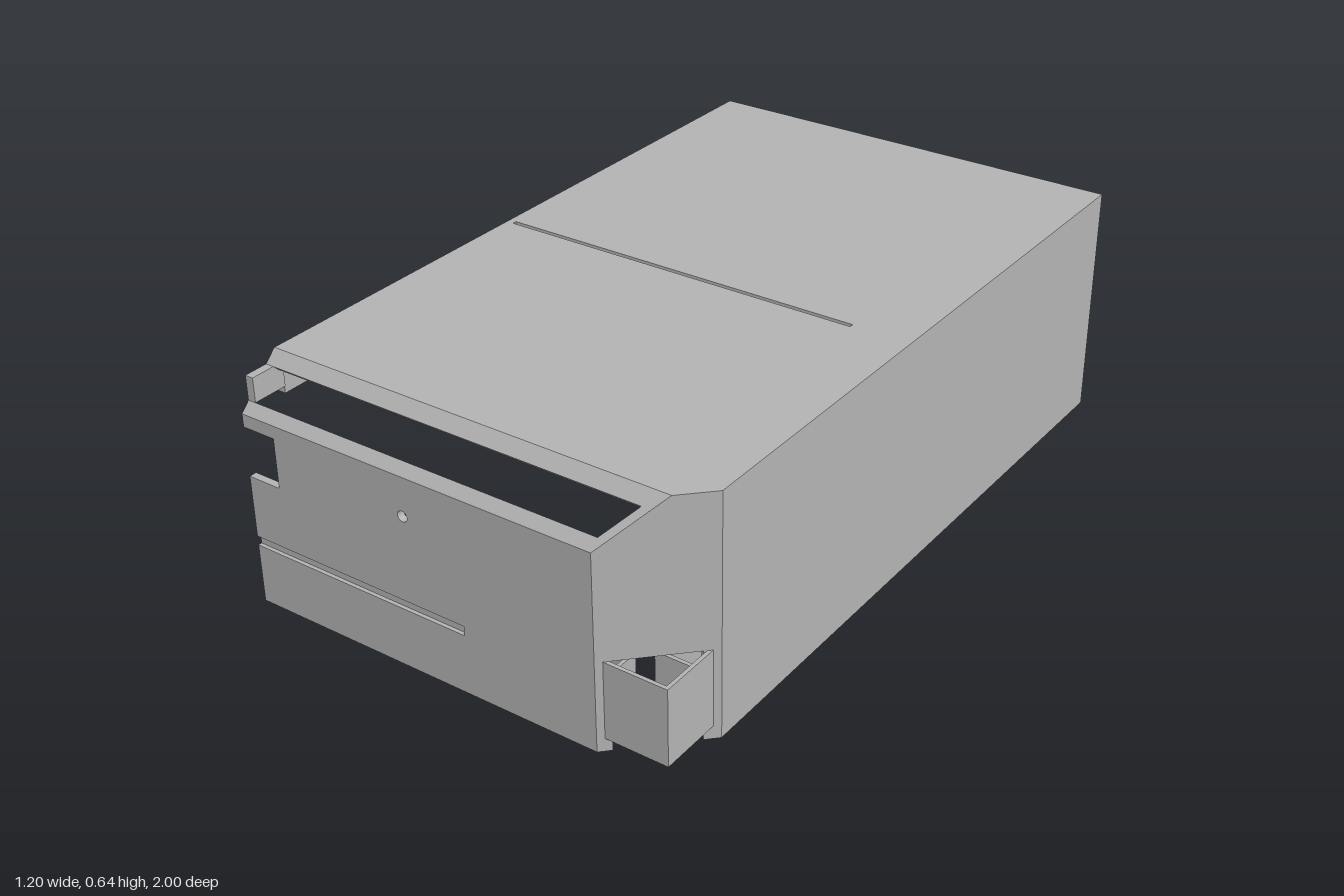
import * as THREE from 'three';

const T = 0.02; // sheet thickness

export function createModel() {
  const group = new THREE.Group();
  const grey = new THREE.MeshStandardMaterial({ color: 0xb2b2b2 });
  grey.name = 'sheetGrey';

  const add = (name, geo) => {
    const m = new THREE.Mesh(geo, grey);
    m.name = name;
    group.add(m);
    return m;
  };

  // Box given by its limits on each axis
  const box = (name, x0, x1, y0, y1, z0, z1) => add(name,
    new THREE.BoxGeometry(x1 - x0, y1 - y0, z1 - z0)
      .translate((x0 + x1) / 2, (y0 + y1) / 2, (z0 + z1) / 2));

  // Flat plate: outline in u,v; outer face lies on the plane through origin
  const plate = (name, outline, origin, u, v, depth = T, inset = 0, holes = []) => {
    const shape = new THREE.Shape(outline.map(p => new THREE.Vector2(...p)));
    shape.holes.push(...holes);
    const geo = new THREE.ExtrudeGeometry(shape, { depth, bevelEnabled: false, curveSegments: 12 });
    geo.translate(0, 0, -depth - inset);
    const U = new THREE.Vector3(...u).normalize();
    const V = new THREE.Vector3(...v).normalize();
    const M = new THREE.Matrix4().makeBasis(U, V, U.clone().cross(V));
    M.setPosition(...origin);
    return add(name, geo.applyMatrix4(M));
  };

  // Top panel in two layers, the upper one split by a shallow groove
  const topEdge = [[-0.6, -0.88], [0.525, -0.88], [0.6, -0.805], [0.6, 1], [-0.6, 1]];
  const topGroove = [[-0.6, -0.025], [0.44, -0.025], [0.44, -0.037], [-0.6, -0.037]];
  const topAt = [[0, 0.64, 0], [1, 0, 0], [0, 0, -1]];
  plate('topPanelOuter', [...topEdge, ...topGroove], ...topAt, T / 2);
  plate('topPanelInner', topEdge, ...topAt, T / 2, T / 2);

  // Front panel with side notch, groove and round hole
  const roundHole = () => new THREE.Path().absarc(-0.12, 0.416, 0.014, 0, Math.PI * 2, true);
  const frontEdge = [[-0.6, 0], [0.405, 0], [0.405, 0.52], [-0.6, 0.52],
    [-0.6, 0.485], [-0.505, 0.485], [-0.505, 0.352], [-0.6, 0.352]];
  const frontGroove = [[-0.6, 0.185], [0.04, 0.185], [0.04, 0.16], [-0.6, 0.16]];
  const frontAt = [[0, 0, 1], [1, 0, 0], [0, 1, 0]];
  plate('frontPanelOuter', [...frontEdge, ...frontGroove], ...frontAt, T / 2, 0, [roundHole()]);
  plate('frontPanelInner', frontEdge, ...frontAt, T / 2, T / 2, [roundHole()]);

  // Sloped upper edge with a long window open at its outer end
  plate('slopedPanel', [[-0.6, 0], [0.405, 0], [0.525, 0.17], [-0.6, 0.17],
    [-0.6, 0.127], [0.47, 0.127], [0.405, 0.035], [-0.6, 0.035]],
    [0, 0.52, 1], [1, 0, 0], [0, 1, -1]);

  // Angled corner wall with a low opening
  plate('cornerWall', [[0, 0], [0.035, 0], [0.035, 0.24], [0.235, 0.24], [0.235, 0],
    [0.276, 0], [0.276, 0.64], [0.17, 0.64], [0, 0.52]],
    [0.405, 0, 1], [1, 0, -1], [0, 1, 0]);

  // Side wall
  box('sideWall', 0.6 - T, 0.6, 0, 0.64, -1, 0.805);

  // Hanging rims along the back and the open side, with the window tab
  box('backRim', -0.6, 0.6, 0.525, 0.64, -1, -1 + T);
  box('openSideRim', -0.6, -0.6 + T, 0.525, 0.64, -1, 0.88);
  box('windowTab', -0.6, -0.577, 0.545, 0.61, 0.88, 0.976);

  // Bottom channel under the side wall
  box('sideChannelFloor', 0.41, 0.6, 0, T, -1, 0.79);
  box('sideChannelLip', 0.41, 0.41 + T, 0, 0.145, -1, 0.79);
  box('sideChannelCap', 0.43, 0.58, 0, 0.145, 0.78, 0.79);

  // Bottom channel behind the front panel
  box('frontChannelFloor', -0.6, 0.38, 0, T, 0.82, 1);
  box('frontChannelLip', -0.6, 0.38, 0, 0.145, 0.82, 0.82 + T);
  box('frontChannelCap', 0.37, 0.38, 0, 0.145, 0.84, 0.98);

  // Bent guard standing off the corner opening
  box('guardFront', 0.418, 0.587, 0.035, 0.24, 0.977, 0.987);
  box('guardSide', 0.577, 0.587, 0.035, 0.24, 0.818, 0.977);

  return group;
}
